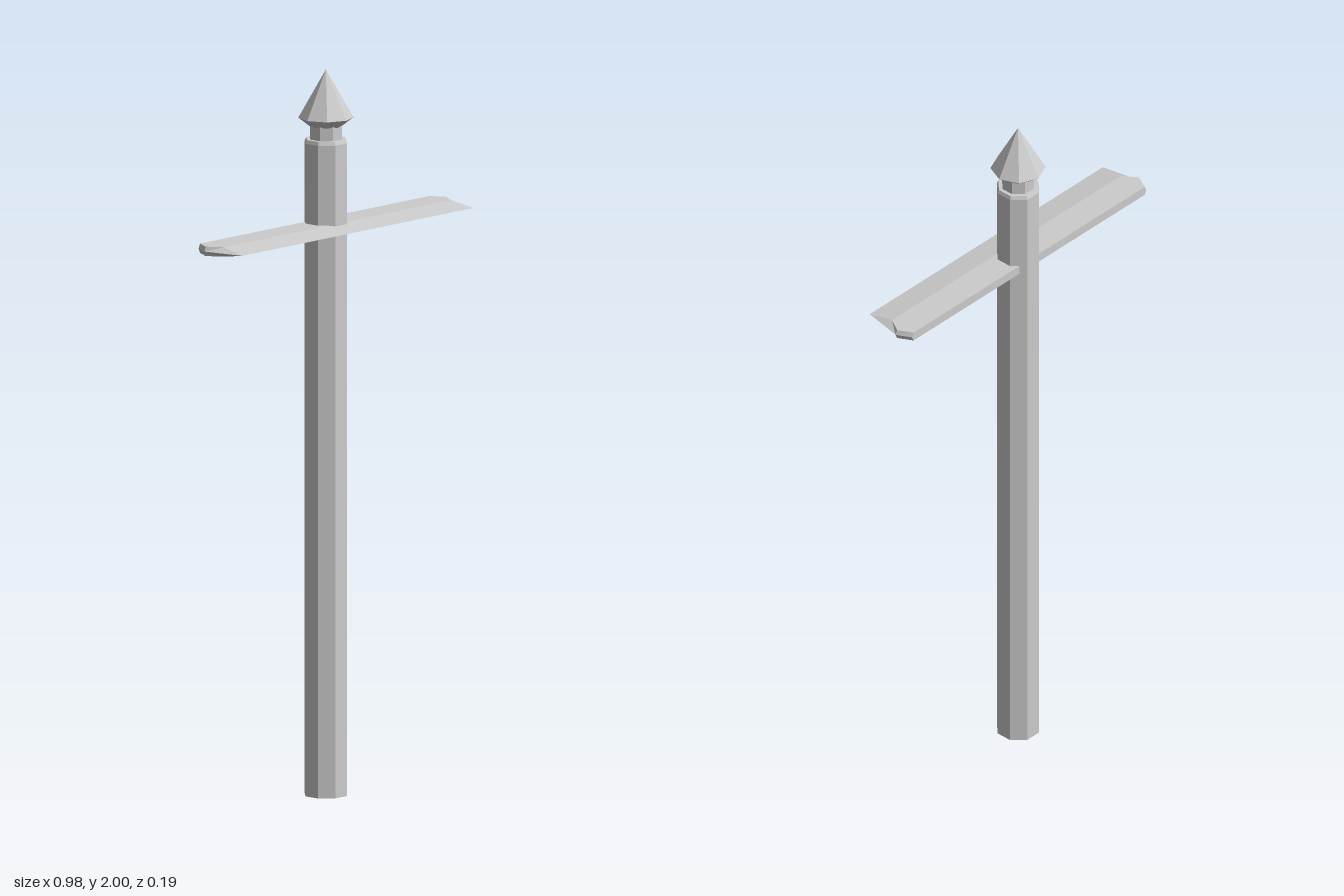
import * as THREE from 'three';

const material = new THREE.MeshStandardMaterial({ color: 0xcccccc, flatShading: true });
const POST_Z = -0.022;

// Eight-sided turned part from [radius, height] pairs, bottom to top
function turned(name, profile, turn) {
  const points = profile.map(([r, y]) => new THREE.Vector2(r, y));
  const mesh = new THREE.Mesh(new THREE.LatheGeometry(points, 8, turn), material);
  mesh.name = name;
  mesh.position.z = POST_Z;
  return mesh;
}

// Single-edged bar: one cross-section at both ends, each closed by a fan to a pointed tip
function crossBlade() {
  const midY = 1.567, half = 0.013;
  const tip = { x: 0.488, z: -0.022 };
  // [end x, height from middle, z], round the section from the spine over the top
  const section = [
    [0.467, 0, -0.063], [0.461, half, -0.063], [0.483, half, -0.022], [0.457, half, 0.02],
    [0.465, 0, 0.095],
    [0.457, -half, 0.02], [0.483, -half, -0.022], [0.461, -half, -0.063],
  ];
  const n = section.length;
  const positions = [];
  for (const side of [1, -1]) {
    for (const [x, y, z] of section) positions.push(side * x, midY + y, z);
  }
  positions.push(tip.x, midY, tip.z, -tip.x, midY, tip.z);

  const index = [];
  for (let i = 0; i < n; i++) {
    const j = (i + 1) % n;
    index.push(i, n + i, n + j, i, n + j, j); // long faces
    index.push(2 * n, i, j, 2 * n + 1, n + j, n + i); // end fans
  }
  const geometry = new THREE.BufferGeometry();
  geometry.setAttribute('position', new THREE.Float32BufferAttribute(positions, 3));
  geometry.setIndex(index);
  const flat = geometry.toNonIndexed();
  flat.computeVertexNormals();
  const mesh = new THREE.Mesh(flat, material);
  mesh.name = 'crossBlade';
  return mesh;
}

export function createModel() {
  const group = new THREE.Group();
  group.name = 'spikedPost';

  // Post with a flat side to the front and a small bevel at its top
  group.add(turned('post', [[0, 0], [0.061, 0], [0.061, 1.8], [0.057, 1.81], [0, 1.81]], Math.PI / 8));
  // Narrow neck under the spike
  group.add(turned('neck', [[0.046, 1.805], [0.046, 1.855]], Math.PI / 8));
  // Spike with a corner to the front
  group.add(turned('spike', [[0, 1.845], [0.045, 1.845], [0.075, 1.868], [0, 2]], 0));
  group.add(crossBlade());

  return group;
}
